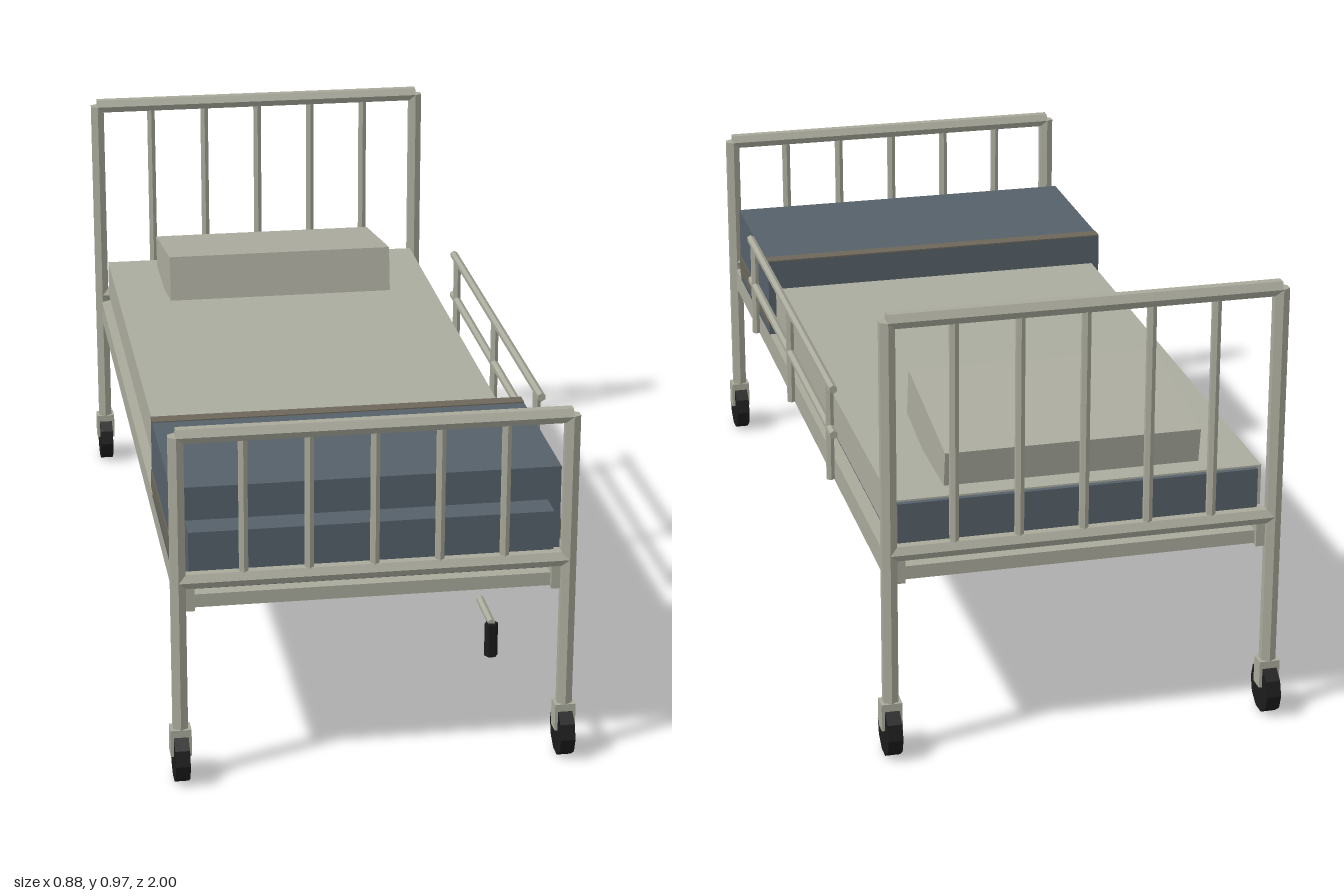
import * as THREE from 'three';

export function createModel() {
  const bed = new THREE.Group();
  bed.name = 'hospitalBed';

  const mat = (name, color) => {
    const m = new THREE.MeshStandardMaterial({ color, flatShading: true });
    m.name = name;
    return m;
  };
  const metal = mat('paintedMetal', 0xa9aa9b);
  const linen = mat('linen', 0xabac9f);
  const blue = mat('blueCloth', 0x56616a);
  const brown = mat('brownStripe', 0x6c665a);
  const rubber = mat('blackRubber', 0x1c1c1c);

  const CX = -0.0085, HALF = 0.4085; // bed centre line and post offset
  const FOOT = 0.882, HEAD = -0.944, MID = (FOOT + HEAD) / 2;

  const add = (name, geometry, material, x, y, z, parent = bed) => {
    const m = new THREE.Mesh(geometry, material);
    m.name = name;
    m.position.set(x, y, z);
    parent.add(m);
    return m;
  };
  const box = (name, material, w, h, d, x, y, z, parent) =>
    add(name, new THREE.BoxGeometry(w, h, d), material, x, y, z, parent);
  // Six-sided tube along one axis
  const tube = (name, axis, r, length, x, y, z, parent) => {
    const g = new THREE.CylinderGeometry(r, r, length, 6);
    if (axis === 'x') g.rotateZ(Math.PI / 2);
    if (axis === 'z') g.rotateX(Math.PI / 2);
    return add(name, g, metal, x, y, z, parent);
  };

  // Head and foot ends: posts, rails, bars and casters
  const bedEnd = (name, z, top) => {
    const end = new THREE.Group();
    end.name = name;
    bed.add(end);
    for (const s of [-1, 1]) {
      const x = CX + s * HALF;
      tube('post', 'y', 0.018, top - 0.08, x, (top + 0.08) / 2, z, end);
      box('casterFork', metal, 0.044, 0.06, 0.036, x, 0.09, z, end);
      const wheel = new THREE.CylinderGeometry(0.054, 0.054, 0.031, 10).rotateZ(Math.PI / 2);
      add('casterWheel', wheel, rubber, x, 0.053, z, end);
    }
    const low = 0.453;
    for (const y of [top, low]) tube('crossRail', 'x', 0.018, HALF * 2, CX, y, z, end);
    for (let i = -2; i <= 2; i++) {
      tube('uprightBar', 'y', 0.0105, top - low, CX + i * HALF / 3, (top + low) / 2, z, end);
    }
  };
  bedEnd('headEnd', HEAD, 0.955);
  bedEnd('footEnd', FOOT, 0.772);

  // Frame
  for (const s of [-1, 1]) {
    box('sideBeam', metal, 0.036, 0.053, FOOT - HEAD, CX + s * 0.392, 0.409, MID);
  }
  box('deck', metal, 0.76, 0.029, FOOT - HEAD - 0.02, CX, 0.401, MID);
  for (const z of [0.515, MID, -0.578]) {
    tube('underBrace', 'x', 0.018, 0.786, CX, 0.381, z);
  }

  // Bedding
  box('mattress', blue, 0.766, 0.126, 1.77, CX, 0.483, MID);
  box('sheet', linen, 0.787, 0.089, 1.35, CX, 0.5055, -0.23);
  const pillow = box('pillow', linen, 0.545, 0.108, 0.342, CX, 0.6, -0.689);
  pillow.rotation.x = -0.16;
  box('blanket', blue, 0.822, 0.185, 0.405, CX, 0.527, 0.5875);
  box('blanketTopStripe', brown, 0.822, 0.003, 0.032, CX, 0.6205, 0.401);
  for (const s of [-1, 1]) {
    box('blanketSideStripe', brown, 0.003, 0.045, 0.405, CX + s * 0.4115, 0.477, 0.5875);
  }

  // Safety rail on the left side only
  const rail = new THREE.Group();
  rail.name = 'safetyRail';
  bed.add(rail);
  for (const y of [0.652, 0.548]) tube('railBar', 'z', 0.0095, 1.007, 0.4285, y, -0.03, rail);
  for (const z of [0.426, -0.031, -0.488]) {
    tube('railPost', 'y', 0.0095, 0.225, 0.4285, 0.541, z, rail);
  }

  // Crank at the foot
  const crank = new THREE.Group();
  crank.name = 'crank';
  bed.add(crank);
  tube('crankRod', 'z', 0.0085, 0.12, 0.217, 0.364, 0.93, crank);
  const grip = new THREE.CylinderGeometry(0.014, 0.014, 0.072, 6).rotateY(Math.PI / 6);
  add('crankGrip', grip, rubber, 0.217, 0.327, 0.988, crank);

  return bed;
}
